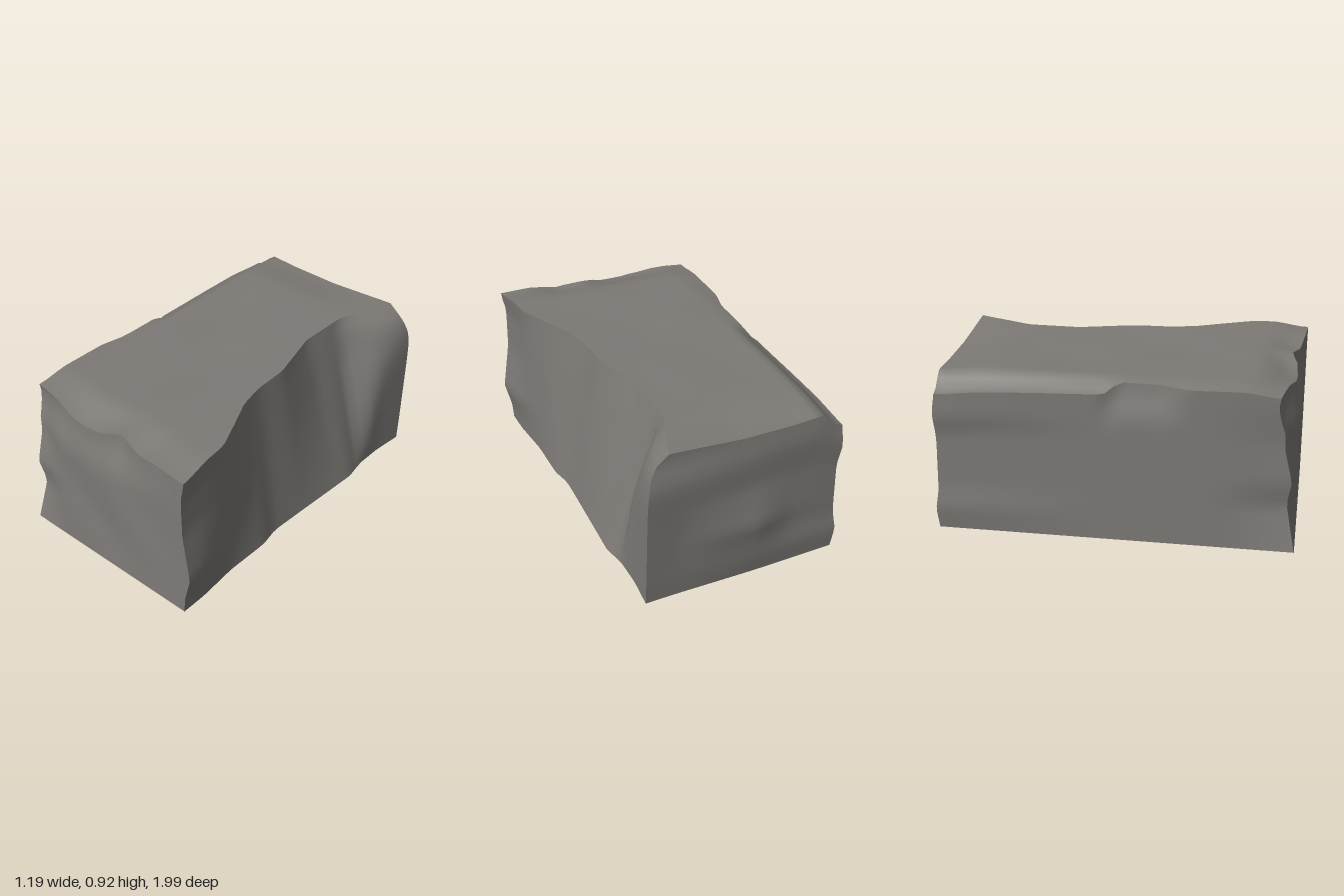
import * as THREE from 'three';

const { lerp, smoothstep } = THREE.MathUtils;

// Piecewise-linear profile through [position, value] pairs
function profile(...pts) {
  return (p) => {
    if (p <= pts[0][0]) return pts[0][1];
    for (let i = 1; i < pts.length; i++) {
      const [a, va] = pts[i - 1], [b, vb] = pts[i];
      if (p <= b) return lerp(va, vb, (p - a) / (b - a));
    }
    return pts[pts.length - 1][1];
  };
}

// Right side along z: worn top edge and wavy foot
const rightTop = profile([-0.95, 0.41], [-0.78, 0.35], [-0.63, 0.285], [-0.32, 0.28], [0, 0.365],
  [0.2, 0.37], [0.35, 0.4], [0.5, 0.47], [0.68, 0.55], [1, 0.575]);
const rightFoot = profile([-0.97, 0.545], [-0.77, 0.525], [-0.6, 0.525], [-0.46, 0.55], [0, 0.525],
  [0.2, 0.515], [0.33, 0.54], [0.6, 0.535], [0.85, 0.555], [1, 0.555]);
// Front corners along y, as offsets
const rightCorner = profile([0, 0], [0.1, 0.005], [0.26, 0.04], [0.55, -0.01], [0.8, -0.02], [0.9, 0]);
const leftCorner = profile([0, 0], [0.26, 0.037], [0.4, 0.012], [0.65, 0.017], [0.85, 0]);
const cornerSetback = profile([0, 0], [0.28, 0.055], [0.42, 0.03], [0.64, 0.08], [0.76, 0.06], [0.92, 0]);
// Left side along y toward the back
const leftBulge = profile([0, 0], [0.15, -0.015], [0.3, 0], [0.65, 0], [0.76, -0.02], [0.92, -0.016]);
// Left top edge along z: inset notch and drop in height
const leftNotch = profile([0, 0], [0.1, 0.045], [0.35, 0.04], [0.5, 0]);
const leftDrop = profile([-0.95, 0.1], [-0.4, 0.08], [0.04, 0.07], [0.1, 0.02], [0.5, 0.02], [1, 0.01]);
// Front top edge along x: set-back and drop in height
const frontSetback = profile([-0.57, 0.105], [-0.35, 0.065], [-0.25, 0.04], [-0.15, 0.035], [0, 0.045],
  [0.08, 0.075], [0.2, 0.04], [0.3, 0.025], [0.42, 0.01], [0.57, 0]);
const frontDrop = profile([-0.57, 0.025], [-0.38, 0.035], [-0.28, 0.055], [-0.17, 0.068], [-0.05, 0.06],
  [0.08, 0.02], [0.24, 0.047], [0.39, 0.025], [0.57, 0.03]);
// Back: corner outlines and central hump along y, hump strength and top dip along x
const backRight = profile([0, 0.935], [0.15, 0.945], [0.6, 0.965], [0.7, 0.97], [0.78, 0.96], [0.86, 0.935]);
const backLeft = profile([0, 0.953], [0.13, 0.965], [0.25, 0.95], [0.6, 0.945], [0.8, 0.955], [0.92, 0.94]);
const backHump = profile([0, 0], [0.15, 0.2], [0.35, 1], [0.6, 0.1], [0.92, 0]);
const humpStrength = profile([-0.55, 0], [-0.3, 0.01], [-0.1, 0.045], [0.1, 0.03], [0.35, 0]);
const backDip = profile([-0.57, 0.015], [-0.3, 0.03], [0, 0.03], [0.2, 0.015], [0.4, 0]);

// Maps the unit block (u, t, w in 0..1) onto the worn stone
function weather(u, t, w) {
  const zn = lerp(-0.95, 1, w), yn = t * 0.92;
  const nearFront = smoothstep(zn, 0.55, 1);
  const nearBack = 1 - smoothstep(zn, -0.9, 0.1);

  // Sides: the right one leans in, squaring up at the back corner
  const power = lerp(12, 1, smoothstep(zn, -0.97, -0.55));
  const right = lerp(rightFoot(zn), rightTop(zn), t ** power) + rightCorner(yn) * nearFront;
  const left = -0.575 + leftCorner(yn) * nearFront + leftBulge(yn) * nearBack
    + leftNotch(zn) * smoothstep(t, 0.75, 1);
  const x = lerp(left, right, u);

  // Ends
  const mid = Math.sin(Math.PI * t) * Math.sin(Math.PI * u);
  const front = 1 - frontSetback(x) * smoothstep(t, 0.72, 1)
    - cornerSetback(yn) * (1 - smoothstep(x, -0.57, -0.3))
    - 0.008 * mid * (1 + Math.sin(x * 9 + yn * 8));
  const back = -lerp(backLeft(yn), backRight(yn), smoothstep(u, 0.3, 1)) - humpStrength(x) * backHump(yn);
  const z = lerp(back, front, w);

  // Top
  const top = 0.918 + 0.012 * x - frontDrop(x) * smoothstep(zn, 0.78, 1)
    - backDip(x) * (1 - smoothstep(zn, -0.95, -0.65))
    - leftDrop(zn) * (1 - smoothstep(x, -0.58, -0.46))
    - 0.005 * (1 + Math.sin(x * 9 + 1) * Math.sin(zn * 6)) * Math.sin(Math.PI * u) * Math.sin(Math.PI * w);
  return [x, top * t, z];
}

export function createModel() {
  const group = new THREE.Group();
  group.name = 'stoneBlock';
  const stone = new THREE.MeshStandardMaterial({ color: 0x7d7a76 });
  stone.name = 'greyStone';

  // Each side keeps its own vertices, so faces are smooth and edges sharp
  const geo = new THREE.BoxGeometry(1, 1, 1, 24, 18, 40);
  const pos = geo.attributes.position;
  for (let i = 0; i < pos.count; i++) {
    pos.setXYZ(i, ...weather(pos.getX(i) + 0.5, pos.getY(i) + 0.5, pos.getZ(i) + 0.5));
  }
  geo.computeVertexNormals();

  const block = new THREE.Mesh(geo, stone);
  block.name = 'weatheredBlock';
  group.add(block);
  return group;
}
